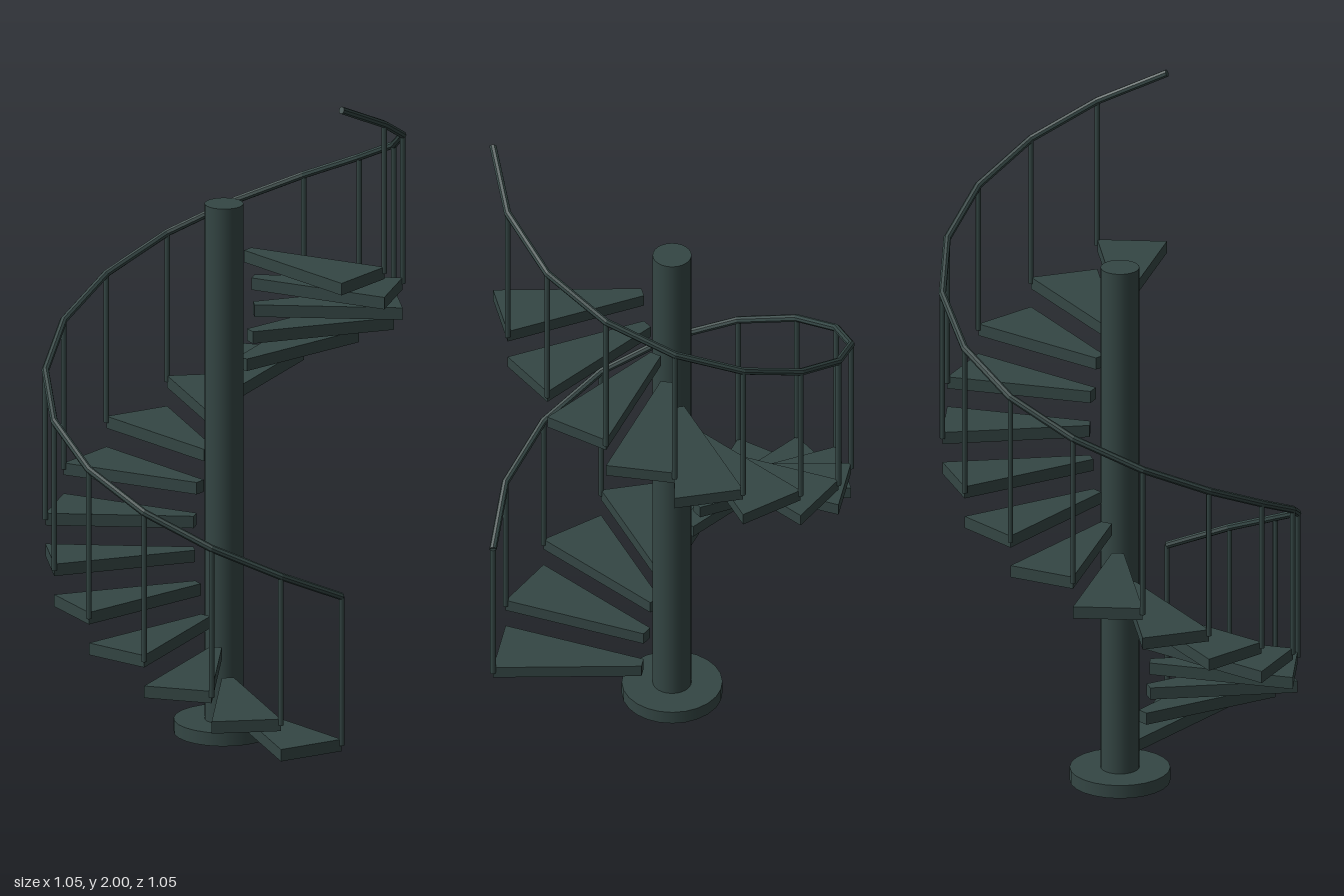
import * as THREE from 'three';

const STEPS = 16, TURN = Math.PI / 8, RISE = 0.0915;
const R_IN = 0.088, R_OUT = 0.515, THICK = 0.036;
const FIRST_TOP = 0.097, RAIL_START = 0.527;

// Handrail centre line: one full turn from the front, by way of -x
class Helix extends THREE.Curve {
  getPoint(t, target = new THREE.Vector3()) {
    const a = t * STEPS * TURN;
    return target.set(-Math.sin(a) * R_OUT, RAIL_START + t * STEPS * RISE, Math.cos(a) * R_OUT);
  }
}

export function createModel() {
  const group = new THREE.Group();
  const iron = new THREE.MeshStandardMaterial({ color: 0x344644 });
  iron.name = 'dark iron';

  const add = (name, geometry, x = 0, y = 0, z = 0) => {
    const mesh = new THREE.Mesh(geometry, iron);
    mesh.name = name;
    mesh.position.set(x, y, z);
    group.add(mesh);
    return mesh;
  };

  // Base plate and central pole
  add('basePlate', new THREE.CylinderGeometry(0.145, 0.145, 0.04, 24), 0, 0.02, 0);
  add('centralPole', new THREE.CylinderGeometry(0.056, 0.056, 1.55, 24), 0, 0.815, 0);

  // Wedge-shaped tread between two neighbouring angles
  const corner = (r, a) => new THREE.Vector2(-Math.sin(a) * r, -Math.cos(a) * r);
  const wedge = new THREE.Shape([
    corner(R_IN, 0), corner(R_OUT, 0), corner(R_OUT, TURN), corner(R_IN, TURN),
  ]);
  const treadGeo = new THREE.ExtrudeGeometry(wedge, { depth: THICK, bevelEnabled: false });
  treadGeo.rotateX(-Math.PI / 2);

  // Treads, each with a baluster at its leading outer corner
  const postHeight = RAIL_START - FIRST_TOP + THICK / 2;
  const postGeo = new THREE.CylinderGeometry(0.008, 0.008, postHeight, 8);
  for (let i = 0; i < STEPS; i++) {
    const a = i * TURN, top = FIRST_TOP + i * RISE;
    add('tread' + (i + 1), treadGeo, 0, top - THICK, 0).rotation.y = -a;
    add('baluster' + (i + 1), postGeo,
      -Math.sin(a) * R_OUT, top - THICK / 2 + postHeight / 2, Math.cos(a) * R_OUT);
  }

  // Faceted handrail with closed ends
  const helix = new Helix();
  const railGeo = new THREE.TubeGeometry(helix, STEPS, 0.011, 8).toNonIndexed();
  railGeo.computeVertexNormals();
  add('handrail', railGeo);
  for (const [t, dir] of [[0, -1], [1, 1]]) {
    const p = helix.getPoint(t);
    const cap = add('handrailEnd', new THREE.CircleGeometry(0.011, 8), p.x, p.y, p.z);
    cap.quaternion.setFromUnitVectors(
      new THREE.Vector3(0, 0, 1), helix.getTangent(t).multiplyScalar(dir));
  }

  return group;
}
